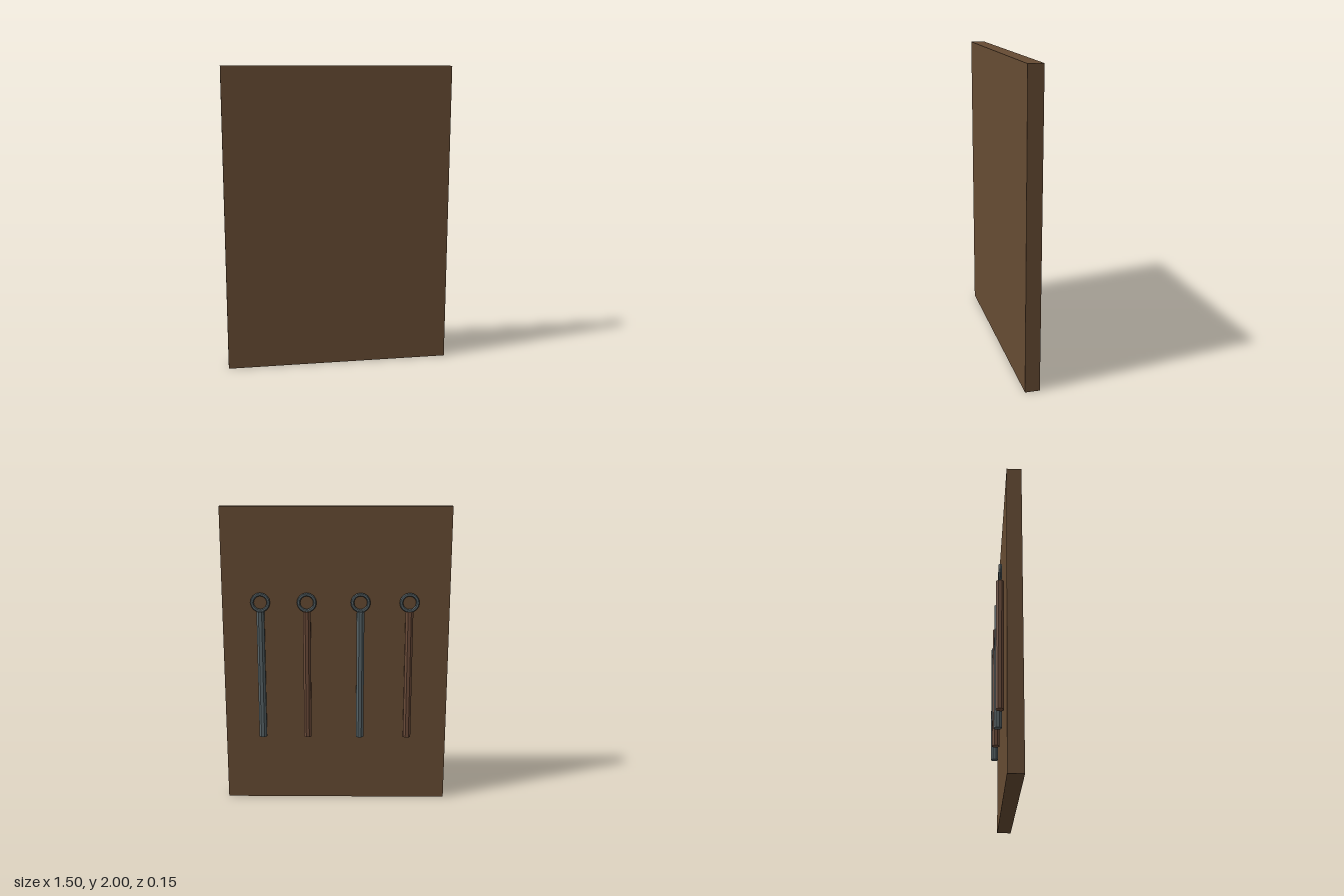
import * as THREE from 'three';

const paint = (name, color, flatShading = false) => {
  const m = new THREE.MeshStandardMaterial({ color, flatShading });
  m.name = name;
  return m;
};

export function createModel() {
  const wood = paint('boardWood', 0x664b33);
  const steel = paint('greySteel', 0x566266, true);
  const copper = paint('brownRod', 0x6a4a38, true);

  const group = new THREE.Group();
  group.name = 'rodBoard';

  const add = (parent, name, geometry, material, x, y, z) => {
    const mesh = new THREE.Mesh(geometry, material);
    mesh.name = name;
    mesh.position.set(x, y, z);
    parent.add(mesh);
  };

  // Backing board
  add(group, 'board', new THREE.BoxGeometry(1.5, 2, 0.095), wood, 0, 1, 0.0275);

  // Eight-sided rods with a flat side toward the board, each under a ring
  const rodGeometry = new THREE.CylinderGeometry(0.027, 0.027, 0.864, 8).rotateY(Math.PI / 8);
  const ringGeometry = new THREE.TorusGeometry(0.054, 0.0115, 6, 16);
  const rods = [[-0.483, copper], [-0.163, steel], [0.19, copper], [0.495, steel]];
  rods.forEach(([x, material], i) => {
    const hanger = new THREE.Group();
    hanger.name = `hangingRod${i + 1}`;
    hanger.position.set(x, 0, -0.05);
    add(hanger, 'rod', rodGeometry, material, 0, 0.89, 0);
    add(hanger, 'ring', ringGeometry, steel, 0, 1.381, 0);
    group.add(hanger);
  });

  return group;
}
